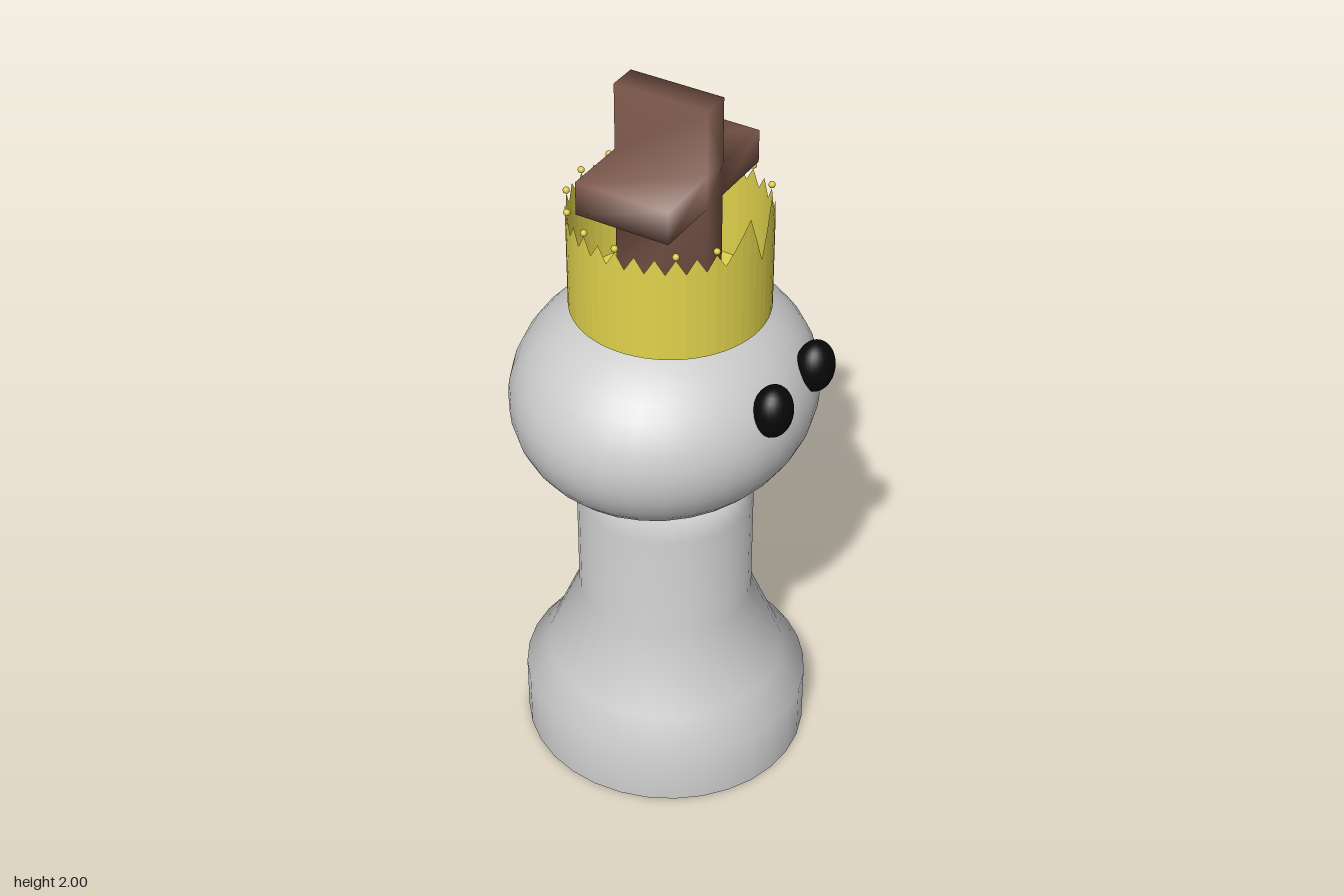
import * as THREE from 'three';
import { mergeVertices } from 'three/addons/utils/BufferGeometryUtils.js';

const paint = (color, extra = {}) => new THREE.MeshStandardMaterial({ color, ...extra });

function addPart(parent, name, geometry, material, position = [0, 0, 0], scale = [1, 1, 1]) {
  const mesh = new THREE.Mesh(geometry, material);
  mesh.name = name;
  mesh.position.set(...position);
  mesh.scale.set(...scale);
  parent.add(mesh);
  return mesh;
}

// Upright band whose top edge zigzags; two tall points flank a notch on the +x side
function crownWall(radius, bottom, steps) {
  const positions = [], indices = [];
  const notch = [1.61, 1.68, 1.75, 1.717, 1.683, 1.65];
  for (let i = 0; i <= steps; i++) {
    const a = (i / steps) * Math.PI * 2;
    const fromNotch = Math.min(i, steps - i);
    const top = fromNotch < notch.length ? notch[fromNotch] : i % 2 ? 1.648 : 1.69;
    const x = radius * Math.cos(a), z = radius * Math.sin(a);
    positions.push(x, bottom, z, x, top, z);
    if (i < steps) {
      const k = i * 2;
      indices.push(k, k + 1, k + 2, k + 1, k + 3, k + 2);
    }
  }
  const geometry = new THREE.BufferGeometry();
  geometry.setAttribute('position', new THREE.Float32BufferAttribute(positions, 3));
  geometry.setIndex(indices);
  geometry.computeVertexNormals();
  return geometry;
}

// Cross outline drawn in z and y, extruded along x, with softly blended normals
function crossGeometry() {
  const half = 0.039, arm = 0.2175, depth = 0.258;
  const outline = [
    [-half, 1.4], [half, 1.4], [half, 1.73], [arm, 1.73], [arm, 1.82], [half, 1.82],
    [half, 2], [-half, 2], [-half, 1.82], [-arm, 1.82], [-arm, 1.73], [-half, 1.73],
  ].map(([z, y]) => new THREE.Vector2(z, y));
  let geometry = new THREE.ExtrudeGeometry(new THREE.Shape(outline), { depth, bevelEnabled: false });
  geometry.translate(0, 0, -depth / 2);
  geometry.rotateY(Math.PI / 2);
  geometry.deleteAttribute('uv');
  geometry.deleteAttribute('normal');
  geometry = mergeVertices(geometry);
  geometry.computeVertexNormals();
  return geometry;
}

export function createModel() {
  const model = new THREE.Group();
  model.name = 'chessKing';
  const grey = paint(0xcccccc);
  const gold = paint(0xe0d24c, { flatShading: true, side: THREE.DoubleSide });
  const black = paint(0x080808);

  // Pedestal with flared foot and bevelled neck
  const profile = [[0.38, 0], [0.38, 0.17], [0.318, 0.25], [0.23, 0.47], [0.23, 0.79], [0.19, 0.83], [0, 0.83]]
    .map(([r, y]) => new THREE.Vector2(r, y));
  addPart(model, 'body', new THREE.LatheGeometry(profile, 32), grey, [-0.01, 0, 0.004], [1.04, 1, 1]);

  // Felt underside
  const felt = new THREE.CircleGeometry(0.38, 32).rotateX(Math.PI / 2);
  addPart(model, 'feltBase', felt, paint(0x48b05c), [-0.01, 0, 0.004], [1.04, 1, 1]);

  // Head
  addPart(model, 'head', new THREE.SphereGeometry(1, 32, 24), grey, [-0.012, 1.135, 0], [0.393, 0.3, 0.433]);

  // Eyes
  for (const [name, z] of [['leftEye', -0.128], ['rightEye', 0.092]]) {
    addPart(model, name, new THREE.SphereGeometry(1, 24, 16), black, [0.354, 1.25, z], [0.05, 0.072, 0.057]);
  }

  // Crown: zigzag band, floor and beads on the points
  const crown = new THREE.Group();
  crown.name = 'crown';
  crown.position.set(0, 0, -0.005);
  model.add(crown);
  addPart(crown, 'crownBand', crownWall(0.258, 1.4, 64), gold);
  addPart(crown, 'crownFloor', new THREE.CircleGeometry(0.258, 64).rotateX(-Math.PI / 2), gold, [0, 1.4, 0]);
  const beadGeometry = new THREE.SphereGeometry(0.009, 12, 8);
  const beadGold = paint(0xd8c848);
  const beadAngles = [33.75, 56.25];
  for (let k = 4; k <= 14; k++) beadAngles.push(k * 22.5);
  for (const degrees of beadAngles) {
    const a = THREE.MathUtils.degToRad(degrees);
    addPart(crown, 'crownBead', beadGeometry, beadGold, [0.258 * Math.cos(a), 1.7, 0.258 * Math.sin(a)]);
  }

  // Wooden cross on top
  addPart(model, 'cross', crossGeometry(), paint(0x795548), [-0.004, 0, -0.004]);

  return model;
}
